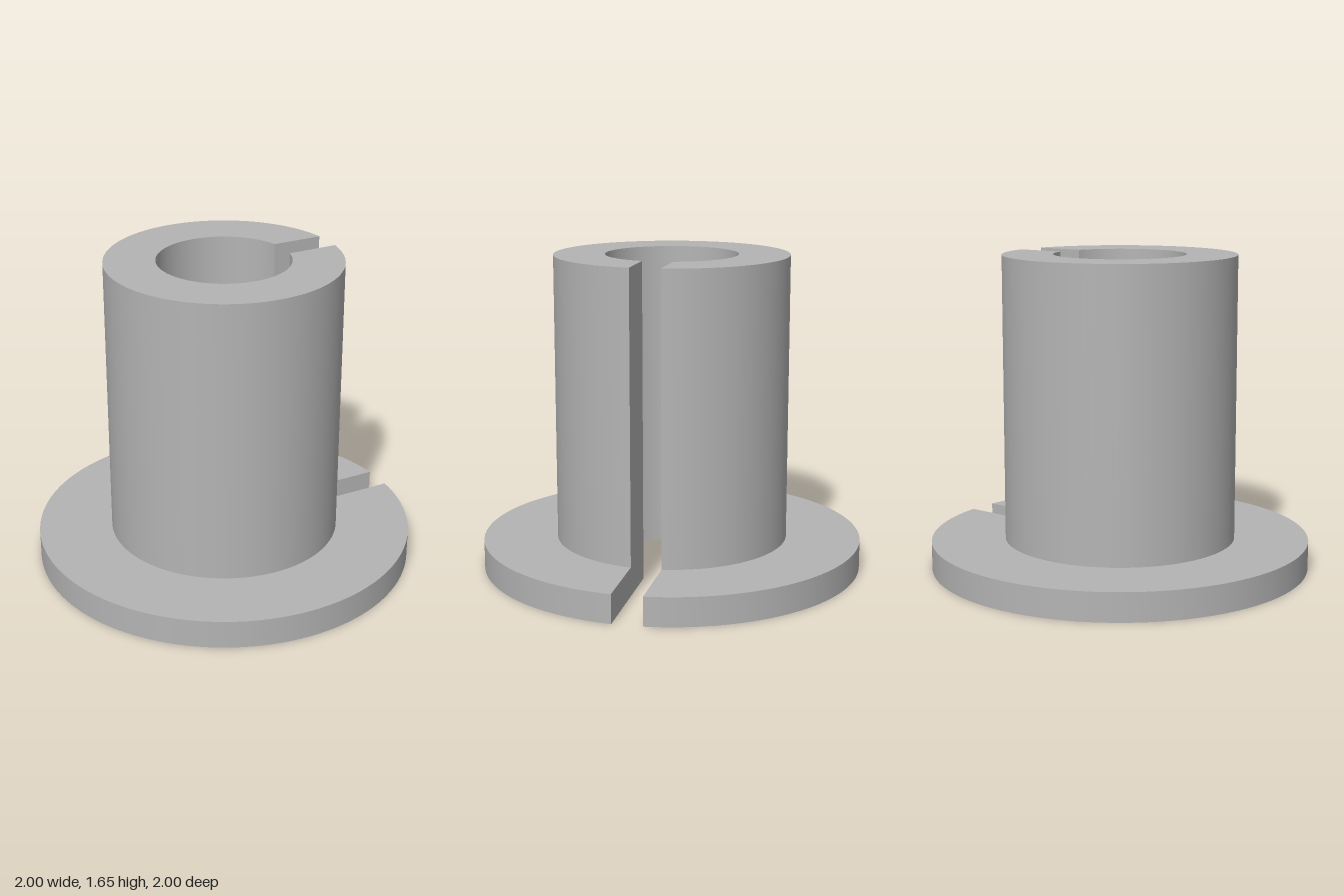
import * as THREE from 'three';
import { toCreasedNormals } from 'three/addons/utils/BufferGeometryUtils.js';

const BORE = 0.345, SLEEVE = 0.61, FLANGE = 1;
const FLANGE_TOP = 0.15, TOP = 1.65;
const SLOT = 0.078; // half width of the slot on the +x side
const SEGMENTS = 128;

// Revolved wall whose ends stop at a parallel-sided slot
function slottedWall(points) {
  const g = new THREE.LatheGeometry(points, SEGMENTS);
  const pos = g.attributes.position;
  for (let i = 0; i <= SEGMENTS; i++) {
    points.forEach((p, j) => {
      const gap = Math.asin(SLOT / p.x);
      const angle = Math.PI / 2 + gap + (i / SEGMENTS) * 2 * (Math.PI - gap);
      pos.setXYZ(i * points.length + j, p.x * Math.sin(angle), p.y, p.x * Math.cos(angle));
    });
  }
  return toCreasedNormals(g, 0.5);
}

// Flat slot face; side is -1 for the back face, +1 for the front face
function slotFace(points, side) {
  const outline = points.map((p) => new THREE.Vector2(Math.sqrt(p.x * p.x - SLOT * SLOT), p.y));
  const g = new THREE.ShapeGeometry(new THREE.Shape(outline));
  g.translate(0, 0, side * SLOT);
  if (side > 0) {
    g.index.array.reverse();
    g.computeVertexNormals();
  }
  return g;
}

function slottedPart(name, profile, material) {
  const points = profile.map(([r, y]) => new THREE.Vector2(r, y));
  const part = new THREE.Group();
  part.name = name;
  const add = (label, geometry) => {
    const mesh = new THREE.Mesh(geometry, material);
    mesh.name = name + label;
    part.add(mesh);
  };
  add('Wall', slottedWall(points));
  add('SlotBack', slotFace(points, -1));
  add('SlotFront', slotFace(points, 1));
  return part;
}

export function createModel() {
  const group = new THREE.Group();
  group.name = 'slottedFlangeBushing';
  const grey = new THREE.MeshStandardMaterial({ color: 0xb4b4b4 });
  grey.name = 'grey';

  // Wide base disc, open where the sleeve stands on it
  group.add(slottedPart('flange', [
    [BORE, FLANGE_TOP], [BORE, 0], [FLANGE, 0], [FLANGE, FLANGE_TOP], [SLEEVE, FLANGE_TOP],
  ], grey));

  // Tall tube continuing the bore
  group.add(slottedPart('sleeve', [
    [SLEEVE, FLANGE_TOP], [SLEEVE, TOP], [BORE, TOP], [BORE, FLANGE_TOP],
  ], grey));

  return group;
}
